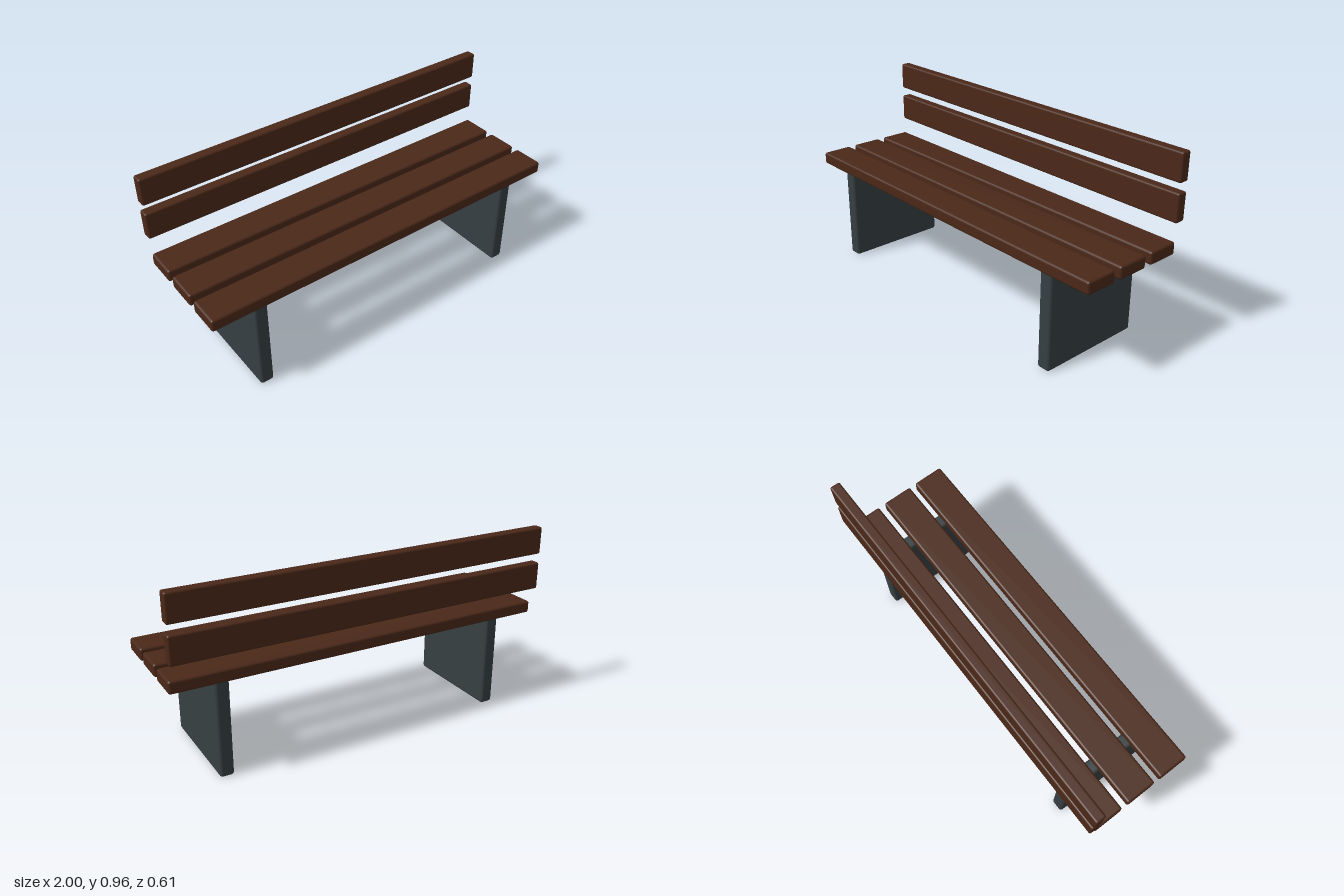
import * as THREE from 'three';
import { RoundedBoxGeometry } from 'three/addons/geometries/RoundedBoxGeometry.js';

const wood = new THREE.MeshStandardMaterial({ color: 0x4a2818 });
const metal = new THREE.MeshStandardMaterial({ color: 0x363f42 });

// Softly rounded board, placed by its centre
function board(name, size, position, material, radius) {
  const mesh = new THREE.Mesh(new RoundedBoxGeometry(...size, 3, radius), material);
  mesh.name = name;
  mesh.position.set(...position);
  return mesh;
}

export function createModel() {
  const bench = new THREE.Group();
  bench.name = 'bench';

  // Three seat slats, front to back
  for (const z of [0.222, 0.023, -0.177]) {
    bench.add(board('seatSlat', [2, 0.064, 0.164], [0, 0.512, z], wood, 0.012));
  }

  // Two upright backrest slats, floating behind the seat
  for (const y of [0.701, 0.89]) {
    bench.add(board('backSlat', [2, 0.142, 0.054], [0, y, -0.278], wood, 0.01));
  }

  // Slab legs, reaching a little way into the seat slats
  for (const [name, side] of [['leftLeg', 1], ['rightLeg', -1]]) {
    bench.add(board(name, [0.07, 0.5, 0.555], [side * 0.755, 0.25, 0.022], metal, 0.014));
  }

  return bench;
}
